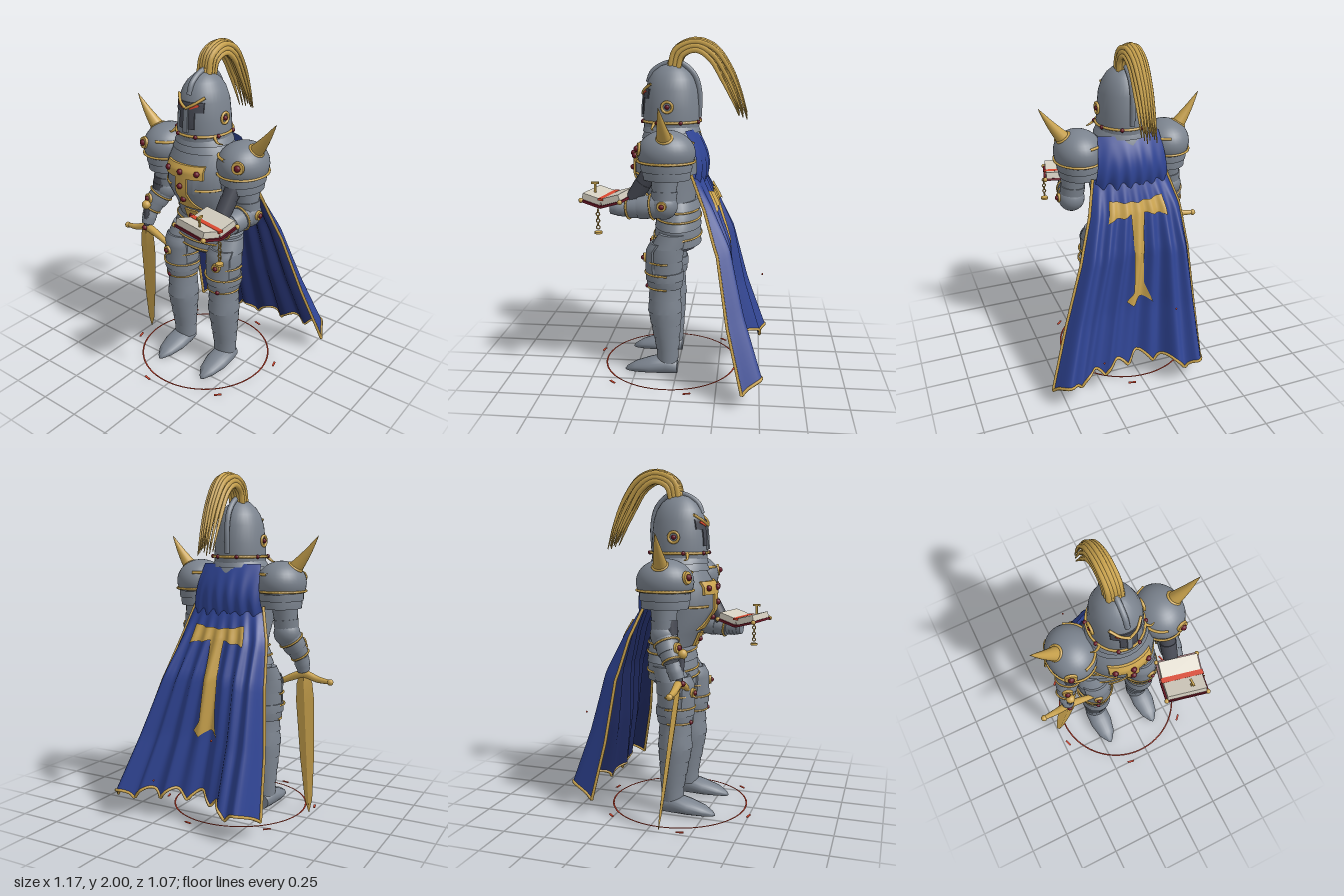
import * as THREE from 'three';
import { toCreasedNormals } from 'three/addons/utils/BufferGeometryUtils.js';

const CX = -0.03; // body centre line
const V = (x, y, z) => new THREE.Vector3(x, y, z);
const mat = (name, color, side = THREE.FrontSide) => Object.assign(new THREE.MeshStandardMaterial({ color, side }), { name });

// Linear lookup in rows sorted by their first number
function at(rows, y) {
  let i = 0;
  while (i < rows.length - 2 && y > rows[i + 1][0]) i++;
  const a = rows[i], b = rows[i + 1], t = THREE.MathUtils.clamp((y - a[0]) / (b[0] - a[0]), 0, 1);
  return a.map((v, k) => v + (b[k] - v) * t);
}

// Closed solid through elliptical sections [y, rx, rz, cx, cz]
function loft(rows, n = 28, crease = 0.6) {
  const pos = [], idx = [], m = rows.length;
  for (const [y, rx, rz, cx = 0, cz = 0] of rows)
    for (let j = 0; j < n; j++) {
      const a = j / n * Math.PI * 2;
      pos.push(cx + rx * Math.cos(a), y, cz + rz * Math.sin(a));
    }
  for (const r of [rows[0], rows[m - 1]]) pos.push(r[3] || 0, r[0], r[4] || 0);
  for (let j = 0; j < n; j++) {
    const k = (j + 1) % n, t = (m - 1) * n;
    for (let i = 0; i < m - 1; i++) {
      const a = i * n + j, b = i * n + k;
      idx.push(a, a + n, b, b, a + n, b + n);
    }
    idx.push(m * n, j, k, m * n + 1, t + k, t + j);
  }
  const g = new THREE.BufferGeometry();
  g.setAttribute('position', new THREE.Float32BufferAttribute(pos, 3));
  g.setIndex(idx);
  return toCreasedNormals(g, crease);
}

// Overlapping armour bands following a profile
function plates(rows, count, flare = 0.03, n = 28) {
  const out = [], y0 = rows[0][0], h = rows[rows.length - 1][0] - y0;
  for (let i = 0; i < count; i++)
    for (const [e, f] of [[0, 1 + flare], [0.5, 1.01], [1, 1 - flare]]) {
      const [y, rx, rz, cx = 0, cz = 0] = at(rows, y0 + h * (i + e) / count);
      out.push([y, rx * f, rz * f, cx, cz]);
    }
  return loft(out, n);
}

// Lays a profile built along y from point a to point b
function limb(a, b, rows, count) {
  const d = b.clone().sub(a), L = d.length();
  const g = plates(rows.map(([t, ...r]) => [t * L, ...r]), count, 0.04, 20);
  g.applyQuaternion(new THREE.Quaternion().setFromUnitVectors(V(0, 1, 0), d.normalize()));
  return g.translate(a.x, a.y, a.z);
}

// Tube along points; radius may be a function of 0..1
function sweep(pts, r, closed = false, seg = 32, sides = 8) {
  const c = new THREE.CatmullRomCurve3(pts, closed), g = new THREE.TubeGeometry(c, seg, 1, sides, closed), p = g.attributes.position;
  for (let i = 0; i < p.count; i++) {
    const t = Math.floor(i / (sides + 1)) / seg, o = c.getPointAt(t), k = typeof r === 'function' ? r(t) : r;
    p.setXYZ(i, o.x + (p.getX(i) - o.x) * k, o.y + (p.getY(i) - o.y) * k, o.z + (p.getZ(i) - o.z) * k);
  }
  return g;
}
function ellipseTrim([y, rx, rz, cx, cz], r, a0 = 0, a1 = Math.PI * 2) {
  const full = a1 - a0 > 6.2, pts = [];
  for (let i = 0; i <= 24 - (full ? 1 : 0); i++) {
    const a = a0 + (a1 - a0) * i / 24;
    pts.push(V(cx + rx * Math.cos(a), y, cz + rz * Math.sin(a)));
  }
  return sweep(pts, r, full, 48, 6);
}

// Presses a geometry onto the front of a lofted profile
function conform(g, rows, lift = 0.004) {
  const p = g.attributes.position;
  for (let i = 0; i < p.count; i++) {
    const [, rx, rz, cx, cz] = at(rows, p.getY(i)), u = (p.getX(i) - cx) / rx;
    p.setZ(i, cz + rz * Math.sqrt(Math.max(0, 1 - u * u)) + lift + p.getZ(i));
  }
  return toCreasedNormals(g, 0.6);
}
const panel = (w, h, d, x, y) => new THREE.BoxGeometry(w, h, d, 10, 8, 1).translate(x, y, 0);

// Open surface from a function of s and t
function sheet(fn, ns, nt) {
  const g = new THREE.PlaneGeometry(1, 1, ns, nt), p = g.attributes.position, uv = g.attributes.uv;
  for (let i = 0; i < p.count; i++) p.setXYZ(i, ...fn(uv.getX(i), 1 - uv.getY(i)).toArray());
  g.computeVertexNormals();
  return g;
}

export function createModel() {
  const root = new THREE.Group();
  root.name = 'armouredKnight';
  const steel = mat('steel', 0x7b838e), gold = mat('gold', 0xcba44e, THREE.DoubleSide), blue = mat('capeBlue', 0x2f4494, THREE.DoubleSide),
    navy = mat('capeLining', 0x1f2a60), gem = mat('garnet', 0x681624), dark = mat('darkCloth', 0x474a54), red = mat('brightRed', 0xd8472f), cream = mat('paper', 0xd3cdbf);
  const add = (name, g, m, parent = root) => {
    const o = new THREE.Mesh(g, m);
    o.name = name;
    parent.add(o);
    return o;
  };
  const stud = (pos, dir, r) => {
    const g = new THREE.Group();
    g.name = 'jewelledStud';
    g.position.copy(pos);
    g.lookAt(pos.clone().add(dir));
    add('studRim', new THREE.CylinderGeometry(r, r * 1.1, 0.014, 18).rotateX(Math.PI / 2), gold, g);
    add('studGem', new THREE.SphereGeometry(r * 0.55, 8, 6).translate(0, 0, 0.008), gem, g);
    root.add(g);
  };
  const bead = (pos, r, m = gem) => add('bead', new THREE.SphereGeometry(r, 10, 8).translate(pos.x, pos.y, pos.z), m);

  // Torso, gorget and layered skirt
  const chest = [[0.98, 0.19, 0.12, CX, 0.015], [1.06, 0.19, 0.135, CX, 0.035], [1.2, 0.205, 0.185, CX, 0.075], [1.33, 0.205, 0.18, CX, 0.075], [1.42, 0.185, 0.15, CX, 0.05], [1.5, 0.14, 0.13, CX, 0.04]];
  add('breastplate', loft(chest, 36), steel);
  add('gorget', plates([[1.42, 0.18, 0.17, CX, 0.045], [1.5, 0.15, 0.16, CX, 0.045]], 2), steel);
  const skirt = [[0.79, 0.205, 0.14, CX, 0.01], [0.9, 0.23, 0.135, CX, 0.005], [1, 0.205, 0.125, CX, 0], [1.06, 0.185, 0.125, CX, 0.01]];
  add('skirtPlates', plates(skirt, 5, 0.03, 36), steel);
  add('underSkirt', loft([[0.765, 0.17, 0.115, CX, 0.01], [0.82, 0.18, 0.12, CX, 0.01]]), dark);
  for (const [y, a, b] of [[0.844, 0, 6.283], [0.952, 0, 6.283], [1.006, -1.2, 0.6], [1.006, 2.5, 4.3], [0.8, 0.75, 2.39]]) {
    const [, rx, rz, cx, cz] = at(skirt, y);
    add('skirtTrim', ellipseTrim([y, rx * 1.035, rz * 1.035, cx, cz], 0.006, a, b), gold);
  }
  for (const [a, b] of [[0.35, 1.15], [2, 2.8]]) add('chestTrim', ellipseTrim(at(chest, 1.22), 0.007, a, b), gold);

  // Jewelled chest ornament
  const stem = panel(0.075, 0.22, 0.012, CX, 1.19), sp = stem.attributes.position;
  for (let i = 0; i < sp.count; i++) sp.setX(i, CX + (sp.getX(i) - CX) * (1 + 1.3 * Math.max(0, (1.15 - sp.getY(i)) / 0.07) ** 2));
  add('ornamentStem', conform(stem, chest, 0.008), gold);
  add('ornamentBar', conform(panel(0.255, 0.075, 0.014, CX, 1.325), chest, 0.009), gold);
  add('beltPlate', conform(panel(0.09, 0.08, 0.014, CX, 1.02), chest, 0.012), gold);
  for (const [x, y] of [[0, 1.325], [-0.1, 1.325], [0.1, 1.325], [0, 1.24], [0, 1.15], [0, 1.02]]) {
    const [, rx, rz, , cz] = at(chest, y);
    bead(V(CX + x, y, cz + rz * Math.sqrt(1 - (x / rx) ** 2) + 0.018), 0.017);
  }

  // Helmet, visor and ridge
  const helm = [[1.47, 0.148, 0.16], [1.52, 0.15, 0.165], [1.6, 0.146, 0.162], [1.7, 0.135, 0.152], [1.76, 0.114, 0.132], [1.8, 0.088, 0.105], [1.835, 0.05, 0.06], [1.85, 0.004, 0.004]].map(r => [...r, CX, 0.045]);
  add('helmet', loft(helm, 36, 1), steel);
  add('eyeOpening', conform(panel(0.18, 0.055, 0.006, CX, 1.68), helm), dark);
  add('mouthOpening', conform(panel(0.1, 0.1, 0.006, CX, 1.61), helm), dark);
  add('noseGuard', conform(panel(0.03, 0.14, 0.012, CX, 1.61), helm, 0.008), steel);
  for (const s of [-1, 1]) {
    add('eye', conform(new THREE.BoxGeometry(0.05, 0.012, 0.006, 4, 1, 1).rotateZ(s * 0.4).translate(CX + s * 0.045, 1.685, 0), helm, 0.008), red);
    add('brow', sweep([V(CX, 1.675, 0.215), V(CX + s * 0.045, 1.7, 0.199), V(CX + s * 0.09, 1.735, 0.155)], 0.008), gold);
    add('earRing', new THREE.TorusGeometry(0.03, 0.008, 8, 20).rotateY(Math.PI / 2).translate(CX + s * 0.15, 1.61, 0.055), gold);
    bead(V(CX + s * 0.15, 1.61, 0.055), 0.014);
    add('collarHorn', sweep([V(CX + s * 0.13, 1.52, 0.13), V(CX + s * 0.165, 1.49, 0.14), V(CX + s * 0.19, 1.485, 0.13)], t => 0.011 * (1 - t * 0.7)), gold);
  }
  add('helmetRidge', sweep([V(CX, 1.74, 0.18), V(CX, 1.8, 0.155), V(CX, 1.85, 0.07), V(CX, 1.85, -0.01), V(CX, 1.78, -0.09), V(CX, 1.68, -0.118), V(CX, 1.54, -0.115)], 0.016), steel);
  add('helmetTrim', ellipseTrim([1.52, 0.155, 0.17, CX, 0.045], 0.008), gold);
  for (let i = 0; i < 8; i++) {
    const a = (i + 0.5) * Math.PI / 4;
    bead(V(CX + 0.16 * Math.cos(a), 1.52, 0.045 + 0.175 * Math.sin(a)), 0.012);
  }

  // Plume of tapering strands
  const outer = [[0.05, 1.82], [0.02, 1.93], [-0.09, 1.982], [-0.2, 1.95], [-0.29, 1.84], [-0.35, 1.71], [-0.395, 1.57]];
  const inner = [[0.005, 1.82], [-0.02, 1.9], [-0.1, 1.935], [-0.18, 1.89], [-0.25, 1.78], [-0.31, 1.67], [-0.35, 1.59]];
  for (let k = 0; k < 3; k++) for (let i = -2; i <= 2; i++)
    add('plumeStrand', sweep(outer.map(([z, y], j) => {
      const f = k / 2;
      return V(CX + i * (0.017 + (k - 1) * 0.0006 * j), y + (inner[j][1] - y) * f - Math.abs(i) * 0.003 * j, z + (inner[j][0] - z) * f);
    }), t => 0.018 * (1 - 0.85 * t ** 2), false, 30, 6), gold);
  add('plumeSocket', new THREE.CylinderGeometry(0.035, 0.05, 0.05, 16).translate(CX, 1.84, 0.03), gold);

  // Shoulders and legs, mirrored about the centre line
  for (const s of [-1, 1]) {
    const px = CX + s * 0.27, onShoulder = (x, y, z) => V(x, y, z).normalize().multiply(V(0.145, 0.13, 0.165)).add(V(px, 1.37, 0.045));
    add('pauldron', new THREE.SphereGeometry(1, 32, 20).scale(0.142, 0.128, 0.163).translate(px, 1.37, 0.045), steel);
    add('shoulderBands', plates([[1.225, 0.112, 0.13, px, 0.045], [1.36, 0.14, 0.157, px, 0.045]], 3), steel);
    add('pauldronTrim', ellipseTrim([1.325, 0.14, 0.16, px, 0.045], 0.007), gold);
    add('neckTrim', sweep([-80, -50, -20, 0, 20, 50, 80].map(d => onShoulder(-s * Math.cos(d / 57.3), 0.45, Math.sin(d / 57.3))), 0.008), gold);
    stud(V(px + s * 0.065, 1.4, 0.192), V(s * 0.3, 0.15, 1), 0.034);
    add('shoulderSpike', sweep([V(px + s * 0.07, 1.44, 0.045), V(px + s * 0.15, 1.54, 0.055), V(px + s * 0.218, 1.64, 0.062)], t => 0.045 * (1 - t) ** 0.9 + 0.0005, false, 16, 16), gold);
    add('spikeCollar', new THREE.TorusGeometry(0.04, 0.009, 8, 20).rotateX(Math.PI / 2).rotateZ(-s * 0.6).translate(px + s * 0.085, 1.463, 0.045), gold);

    const lx = CX + s * 0.16;
    const leg = [[0.08, 0.07, 0.062, lx, 0.055], [0.16, 0.074, 0.068, lx, 0.055], [0.4, 0.093, 0.1, lx, 0.07], [0.54, 0.085, 0.092, lx, 0.07], [0.64, 0.095, 0.098, lx, 0.068], [0.78, 0.105, 0.1, lx, 0.06], [0.88, 0.09, 0.085, lx, 0.02]];
    add('leg', plates(leg, 10, 0.028), steel);
    add('thighPlate', conform(panel(0.17, 0.18, 0.012, lx, 0.735), leg, 0.014), steel);
    for (const [y, k] of [[0.645, 1.2], [0.715, 1.1], [0.555, 1.1]]) {
      const [, rx, rz, cx, cz] = at(leg, y);
      add('legTrim', ellipseTrim([y, rx * k, rz * k, cx, cz], 0.006, -0.2, Math.PI + 0.2), gold);
    }
    add('kneeGuard', plates([[0.55, 0.09, 0.1, lx, 0.07], [0.6, 0.105, 0.11, lx, 0.07], [0.65, 0.11, 0.113, lx, 0.07]], 2), steel);
    stud(V(lx + s * 0.025, 0.735, 0.187), V(s * 0.2, 0, 1), 0.026);
    bead(V(lx + s * 0.025, 0.56, 0.17), 0.014);
    add('foot', loft([[-0.005, 0.05, 0.045, 0, -0.045], [0.06, 0.072, 0.06, 0, -0.06], [0.16, 0.074, 0.045, 0, -0.045], [0.25, 0.053, 0.03, 0, -0.03], [0.3, 0.02, 0.016, 0, -0.016], [0.315, 0.002, 0.005, 0, -0.01]], 20, 1).rotateX(Math.PI / 2).translate(lx + s * 0.008, 0, 0), steel);
  }

  // Arms: the right hangs to the sword, the left bends forward under the book
  const arms = [[V(-0.315, 1.32, 0.045), V(-0.335, 1.08, 0.05), V(-0.395, 0.94, 0.12), V(-0.402, 0.85, 0.15)],
    [V(0.26, 1.32, 0.05), V(0.285, 1.08, 0.055), V(0.255, 1.05, 0.27), V(0.24, 1.055, 0.36)]];
  for (const [a, b, c, d] of arms) {
    add('upperArm', limb(a, b, [[0, 0.075, 0.075], [1, 0.07, 0.07]], 3), steel);
    add('elbowGuard', new THREE.SphereGeometry(0.078, 20, 14).translate(b.x, b.y, b.z), steel);
    add('forearm', limb(c, b, [[0, 0.05, 0.05], [0.5, 0.068, 0.066], [1, 0.07, 0.07]], 3), steel);
    add('gauntlet', limb(d, c, [[0, 0.035, 0.04], [0.5, 0.045, 0.045], [1, 0.045, 0.045]], 4), steel);
    const dir = c.clone().sub(b);
    for (const [t, r] of [[0.3, 0.072], [0.95, 0.056]]) {
      const ring = add('armTrim', new THREE.TorusGeometry(r, 0.006, 6, 24), gold);
      ring.position.copy(b).addScaledVector(dir, t);
      ring.lookAt(c);
    }
  }
  add('innerSleeve', limb(V(0.25, 1.3, 0.11), V(0.23, 1.1, 0.24), [[0, 0.05, 0.05], [1, 0.045, 0.045]], 2), dark);
  add('innerSleeve', limb(V(-0.335, 1.16, 0.085), V(-0.345, 1.08, 0.095), [[0, 0.04, 0.045], [1, 0.04, 0.045]], 2), dark);
  stud(V(-0.39, 1.02, 0.148), V(-0.3, 0.2, 1), 0.03);
  stud(V(0.362, 1.09, 0.06), V(1, 0, 0), 0.026);

  // Sword leaning back towards its tip
  const sword = new THREE.Group();
  sword.name = 'sword';
  sword.position.set(-0.403, 0.82, 0.155);
  sword.rotation.set(0.11, 0, -0.1);
  root.add(sword);
  add('blade', loft([[-0.82, 0.002, 0.002], [-0.74, 0.024, 0.006], [-0.5, 0.044, 0.01], [-0.15, 0.058, 0.013], [-0.05, 0.05, 0.014], [0.01, 0.03, 0.014]], 4, 0.2), gold, sword);
  add('grip', plates([[0, 0.02, 0.02], [0.15, 0.018, 0.018]], 6, 0.08, 12), dark, sword);
  add('pommel', new THREE.SphereGeometry(0.028, 12, 10).translate(0, 0.17, 0), gold, sword);
  add('crossGuard', sweep([V(-0.575, 0.79, 0.157), V(-0.49, 0.8, 0.157), V(-0.403, 0.825, 0.157), V(-0.31, 0.795, 0.157), V(-0.22, 0.75, 0.157)], t => 0.012 + 0.012 * Math.sin(Math.PI * t)), gold);
  for (const [x, y] of [[-0.568, 0.79], [-0.222, 0.75]]) bead(V(x, y, 0.157), 0.019, gold);
  bead(V(-0.403, 0.828, 0.178), 0.017);

  // Open book with thick pages, clasp and chain
  const book = new THREE.Group();
  book.name = 'book';
  book.position.set(0.232, 1.078, 0.375);
  book.rotation.y = -0.22;
  root.add(book);
  for (const s of [-1, 1]) {
    const leaf = new THREE.Group();
    leaf.name = 'bookHalf';
    leaf.rotation.x = s > 0 ? -0.26 : 0.3;
    book.add(leaf);
    add('bookCover', new THREE.BoxGeometry(0.255, 0.014, 0.13).translate(0, 0, s * 0.065), gem, leaf);
    add('pages', new THREE.BoxGeometry(0.23, 0.036, 0.114).translate(0, 0.025, s * 0.065), cream, leaf);
    for (const e of [-1, 1]) add('bookCorner', new THREE.SphereGeometry(0.014, 10, 8).translate(e * 0.122, 0, s * 0.122), gold, leaf);
  }
  add('ribbon', new THREE.BoxGeometry(0.25, 0.012, 0.03).translate(0, 0.044, 0), red, book);
  add('claspPost', new THREE.BoxGeometry(0.01, 0.07, 0.012).translate(0.25, 1.16, 0.45), gold);
  add('claspBar', new THREE.BoxGeometry(0.012, 0.012, 0.045).translate(0.25, 1.195, 0.45), gold);
  for (let i = 0; i < 6; i++) add('chainLink', new THREE.TorusGeometry(0.01, 0.0035, 6, 12).rotateY(i % 2 * Math.PI / 2).translate(0.355, 1.06 - i * 0.019, 0.415), gold);
  add('pendant', new THREE.CylinderGeometry(0.022, 0.022, 0.012, 14).translate(0.355, 0.935, 0.415), gold);

  // Cape with dark lining, gold trim and emblem
  const capeRows = [[0, -0.25, 0.2, -0.15], [0.17, -0.31, 0.25, -0.225], [0.38, -0.335, 0.33, -0.295], [0.7, -0.365, 0.455, -0.33], [1, -0.385, 0.57, -0.39]];
  const hem = [-0.4, -0.53, -0.49, -0.4, -0.345, -0.36, -0.4, -0.41, -0.44, -0.5, -0.42].map((z, i) => V(i / 10, z, 0));
  const hemCurve = new THREE.CatmullRomCurve3(hem);
  const cape = (u, v) => {
    const [, x0, x1, z] = at(capeRows, v), low = 0.09 + 0.06 * Math.abs(Math.sin(u * Math.PI * 6)) + 0.04 * Math.sin(Math.PI * u);
    const fold = (hemCurve.getPoint(u).y + 0.39) * v ** 1.2 + 0.019 * Math.min(1, v * 3) * Math.cos(u * Math.PI * 14);
    return V(x0 + (x1 - x0) * u, 1.24 + (low - 1.24) * v, z + fold + 0.06 * (1 - v) * (2 * u - 1) ** 2);
  };
  add('cape', sheet(cape, 84, 32), blue);
  add('capeLining', sheet((u, v) => cape(u, v).add(V(0, 0, 0.006)), 84, 32), navy);
  const line = fn => Array.from({ length: 43 }, (_, i) => fn(i / 42));
  add('capeSideTrim', sweep(line(t => cape(0, t)), 0.009, false, 60, 6), gold);
  add('capeSideTrim', sweep(line(t => cape(1, t)), 0.009, false, 60, 6), gold);
  add('capeHemTrim', sweep(line(t => cape(t, 1)), 0.009, false, 120, 6), gold);
  add('capeCollar', sheet((u, t) => V(CX + (u - 0.5) * (0.37 + 0.08 * t), 1.48 - 0.29 * t + 0.012 * t * Math.cos(u * 30),
    -0.1 - 0.075 * Math.sin(t * 2.2) + 0.05 * (2 * u - 1) ** 2 + 0.011 * t * t * Math.cos(u * 38)), 60, 14), blue);
  const raised = (u, v) => cape(u, v).add(V(0, 0.004, -0.009));
  add('capeEmblemBar', sheet((s, t) => raised(0.2 + 0.62 * s, 0.15 + (t - 0.5) * (0.065 + 0.04 * Math.abs(2 * s - 1) ** 2)), 40, 6), gold);
  add('capeEmblemStem', sheet((s, t) => raised(0.51 - 0.06 * t + (s - 0.5) * (0.1 + 0.1 * Math.max(0, t - 0.85) / 0.15 + 0.06 * (1 - t) ** 4), 0.16 + 0.51 * t), 12, 30), gold);

  // Circle on the ground with dashes and drifting sparks
  add('groundRing', new THREE.TorusGeometry(0.406, 0.005, 6, 80).rotateX(Math.PI / 2).scale(1, 0.4, 1).translate(CX, 0.003, 0.05), red);
  for (let i = 0; i < 6; i++) {
    const a = (103 + 60 * i) * Math.PI / 180;
    add('groundDash', new THREE.BoxGeometry(0.012, 0.004, 0.045).rotateY(-a).translate(CX + 0.462 * Math.cos(a), 0.003, 0.05 + 0.462 * Math.sin(a)), red);
  }
  for (const [x, y, z] of [[-0.15, 0.55, -0.51], [0.27, 0.24, -0.455]]) bead(V(x, y, z), 0.006, red);
  return root;
}
